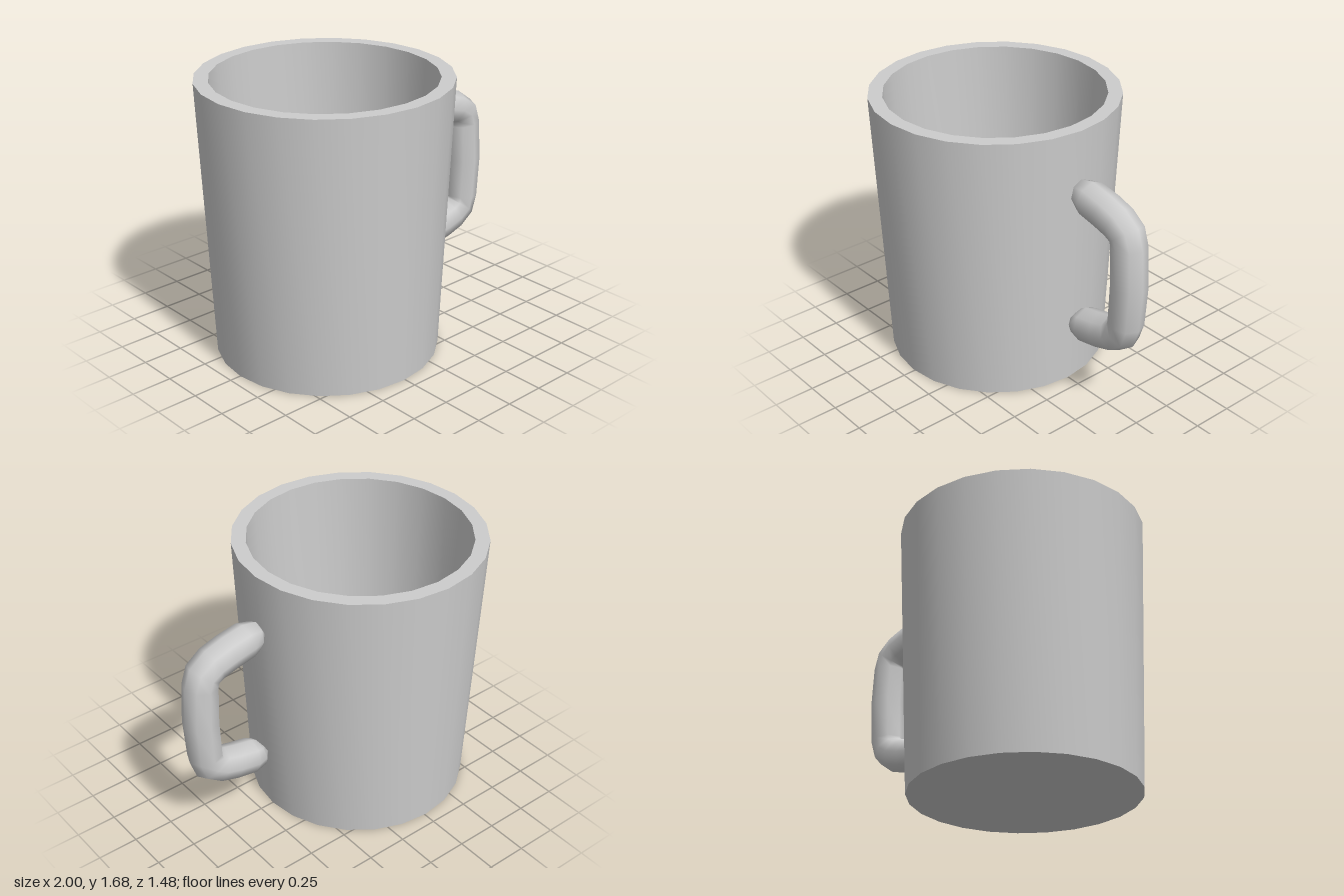
import * as THREE from 'three';
import { toCreasedNormals } from 'three/addons/utils/BufferGeometryUtils.js';

const SIDES = 8; // sides of the handle's cross-section

// Round tube through stations [x, y, radius] in the xy plane
function sweep(stations) {
  const positions = [], index = [];
  stations.forEach(([x, y, r], i) => {
    const a = stations[Math.max(i - 1, 0)];
    const b = stations[Math.min(i + 1, stations.length - 1)];
    const t = new THREE.Vector2(b[0] - a[0], b[1] - a[1]).normalize();
    for (let j = 0; j < SIDES; j++) {
      const angle = (j / SIDES) * Math.PI * 2;
      const c = r * Math.cos(angle);
      positions.push(x - t.y * c, y + t.x * c, r * Math.sin(angle));
      if (i === 0) continue;
      const k = (j + 1) % SIDES;
      const p = (i - 1) * SIDES, q = i * SIDES;
      index.push(p + j, p + k, q + j, p + k, q + k, q + j);
    }
  });
  const geometry = new THREE.BufferGeometry();
  geometry.setAttribute('position', new THREE.Float32BufferAttribute(positions, 3));
  geometry.setIndex(index);
  geometry.computeVertexNormals();
  return geometry;
}

export function createModel() {
  const group = new THREE.Group();
  group.name = 'mug';
  const ceramic = new THREE.MeshStandardMaterial({ color: 0xcccccc });
  ceramic.name = 'light grey ceramic';

  // Tapered cup: base, outer wall, flat rim, inner wall, floor
  const profile = [
    [0, 0], [0.67, 0], [0.74, 1.68], [0.655, 1.68], [0.588, 0.08], [0, 0.08],
  ].map(([r, y]) => new THREE.Vector2(r, y));
  const cup = new THREE.Mesh(
    toCreasedNormals(new THREE.LatheGeometry(profile, 24), 0.6), ceramic);
  cup.name = 'cup';
  cup.position.x = -0.26;
  group.add(cup);

  // Handle: upper half with a rounded end, mirrored for the lower half
  const middle = 0.883;
  const upper = [
    [0.467, 1.28, 0], [0.47, 1.285, 0.045], [0.502, 1.3, 0.088],
    [0.565, 1.3, 0.107], [0.69, 1.275, 0.108], [0.79, 1.245, 0.107],
    [0.858, 1.2, 0.105], [0.88, 1.13, 0.104],
  ];
  const lower = upper.map(([x, y, r]) => [x, 2 * middle - y, r]).reverse();
  const handle = new THREE.Mesh(
    sweep([...upper, [0.893, middle, 0.107], ...lower]), ceramic);
  handle.name = 'handle';
  group.add(handle);

  return group;
}
